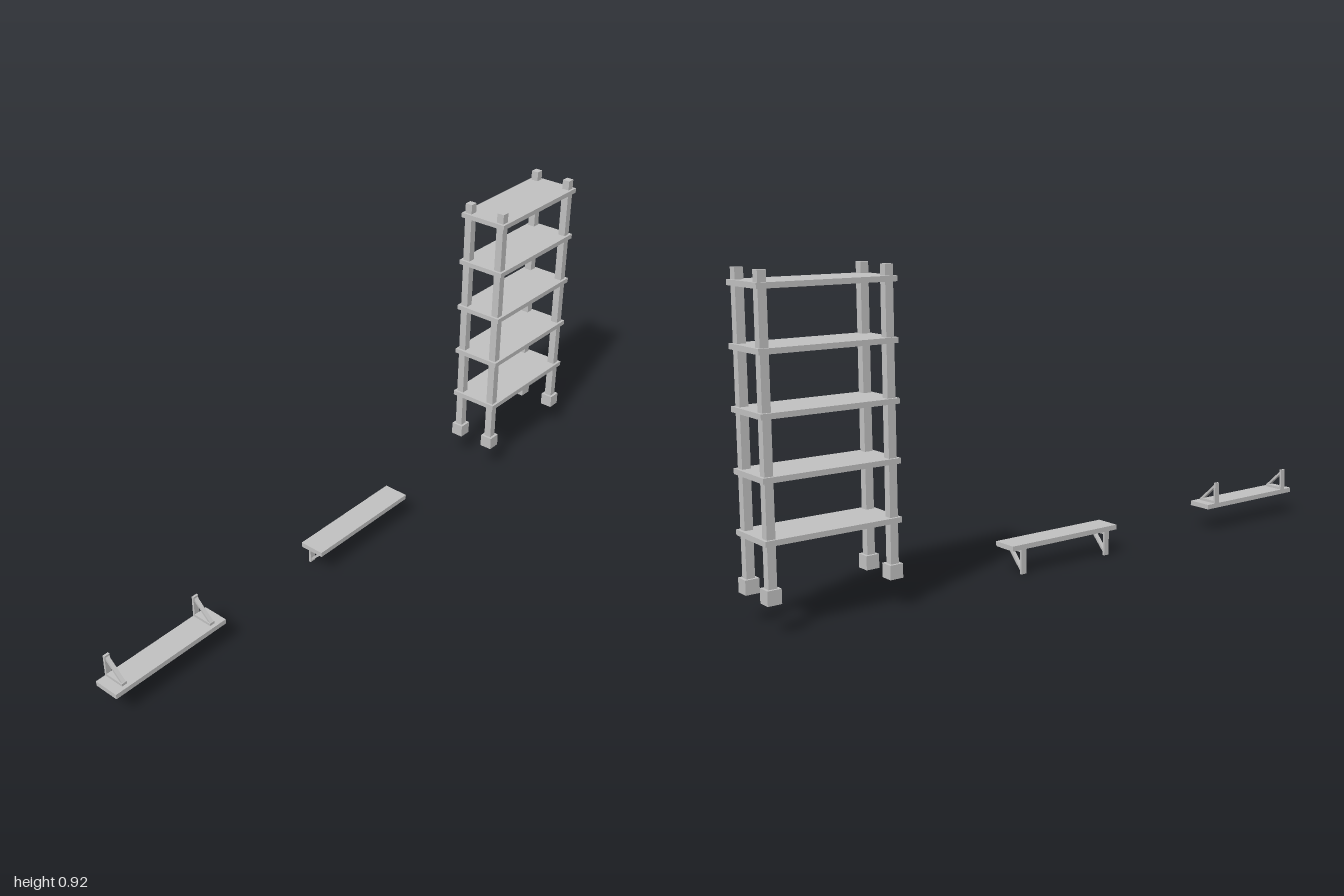
import * as THREE from 'three';

const grey = new THREE.MeshStandardMaterial({ color: 0xc0c0c0 });
grey.name = 'light grey';

// Axis-aligned box centred at (x, y, z)
function box(parent, name, w, h, d, x, y, z) {
  const mesh = new THREE.Mesh(new THREE.BoxGeometry(w, h, d), grey);
  mesh.name = name;
  mesh.position.set(x, y, z);
  parent.add(mesh);
  return mesh;
}

function group(parent, name, z) {
  const g = new THREE.Group();
  g.name = name;
  g.position.z = z;
  parent.add(g);
  return g;
}

// Freestanding rack: four footed posts and five boards
function addRack(parent) {
  const rack = group(parent, 'rack', -0.8);
  for (const x of [-0.06, 0.06]) {
    for (const z of [-0.18, 0.18]) {
      box(rack, 'foot', 0.04, 0.04, 0.04, x, 0.102, z);
      box(rack, 'post', 0.024, 0.798, 0.024, x, 0.521, z);
    }
  }
  for (let i = 0; i < 5; i++) box(rack, 'rackBoard', 0.16, 0.015, 0.4, 0, 0.242 + i * 0.16, 0);
}

// Triangular bracket from the board face (y0) to its tip (y1), above or below
function addBracket(parent, y0, y1, z) {
  const bracket = group(parent, 'bracket', z);
  const dir = Math.sign(y1 - y0), t = 0.008;
  box(bracket, 'bracketArm', 0.068, t, 0.018, -0.006, y0 + dir * t / 2, 0);
  box(bracket, 'bracketUpright', 0.007, Math.abs(y1 - y0), 0.018, -0.0365, (y0 + y1) / 2, 0);
  // Diagonal brace
  const a = new THREE.Vector2(-0.035, y1 - dir * 0.008);
  const b = new THREE.Vector2(0.024, y0 + dir * 0.006);
  const brace = box(bracket, 'bracketBrace', a.distanceTo(b), 0.007, 0.012,
    (a.x + b.x) / 2, (a.y + b.y) / 2, 0);
  brace.rotation.z = Math.atan2(b.y - a.y, b.x - a.x);
}

// Wall shelf: one board with a pair of brackets
function addWallShelf(parent, name, z, y0, y1) {
  const shelf = group(parent, name, z);
  box(shelf, 'shelfBoard', 0.08, 0.015, 0.4, 0, 0.0815, 0);
  for (const s of [-0.16, 0.16]) addBracket(shelf, y0, y1, s);
}

export function createModel() {
  const model = new THREE.Group();
  model.name = 'shelves';
  addRack(model);
  addWallShelf(model, 'shelfBracketsBelow', 0, 0.074, 0);
  addWallShelf(model, 'shelfBracketsAbove', 0.8, 0.089, 0.157);
  return model;
}
